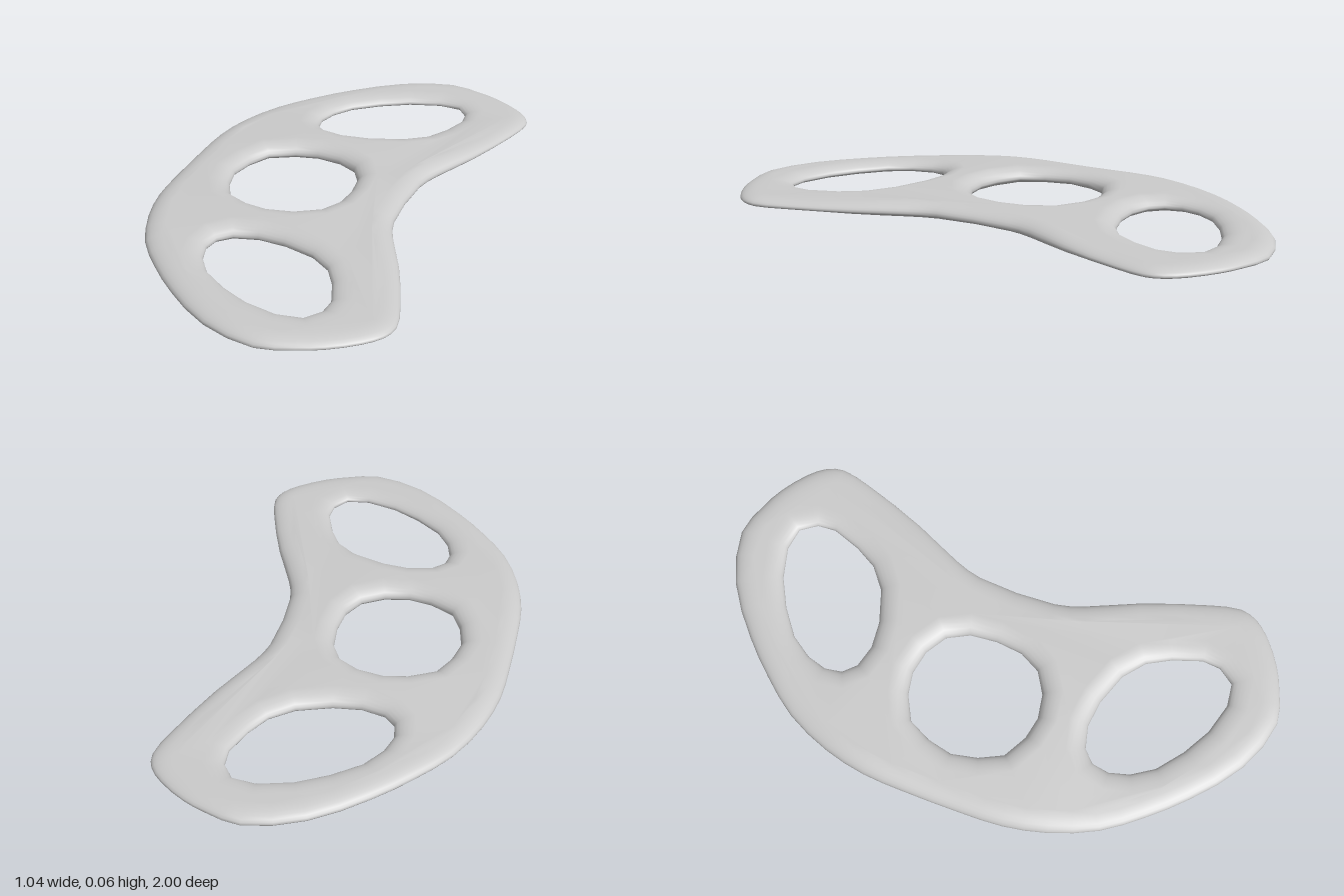
import * as THREE from 'three';
import { mergeVertices } from 'three/addons/utils/BufferGeometryUtils.js';

const toPoints = (pairs) => pairs.map(([x, y]) => new THREE.Vector2(x, y));
const flip = (pairs) => pairs.map(([x, y]) => [x, -y]).reverse();

// One half of the crescent outline, from the convex side round the tip to the concave side
const outlineHalf = [
  [-0.52, 0.1], [-0.513, 0.25], [-0.48, 0.4], [-0.41, 0.56], [-0.31, 0.69], [-0.2, 0.805],
  [-0.03, 0.938], [0.16, 1], [0.28, 0.97], [0.36, 0.935], [0.45, 0.872], [0.5, 0.815],
  [0.517, 0.755], [0.492, 0.645], [0.41, 0.415], [0.33, 0.24], [0.3, 0.14],
];
// Slanted oval opening near a tip
const tipHole = [
  [-0.21, 0.52], [-0.19, 0.59], [-0.14, 0.665], [-0.05, 0.735], [0.05, 0.79], [0.16, 0.82],
  [0.24, 0.81], [0.28, 0.755], [0.285, 0.69], [0.25, 0.59], [0.205, 0.51], [0.13, 0.45],
  [0.015, 0.41], [-0.08, 0.4], [-0.16, 0.42], [-0.2, 0.46],
];
// Half of the rounded middle opening
const middleHalf = [
  [-0.34, 0], [-0.32, 0.09], [-0.28, 0.17], [-0.195, 0.215], [-0.116, 0.23],
  [-0.03, 0.215], [0.045, 0.17], [0.085, 0.095], [0.095, 0],
];

// Relative thickness: fullest at the two bars, thinner to the tips and sides
function thickness(x, z) {
  const { smoothstep } = THREE.MathUtils;
  const a = Math.abs(z);
  const along = 0.9 + 0.1 * smoothstep(a, 0, 0.27) - 0.3 * smoothstep(a, 0.3, 0.6);
  return along * (1 - 0.2 * smoothstep(Math.abs(x + 0.07), 0.15, 0.5));
}

export function createModel() {
  const group = new THREE.Group();

  // Counter-clockwise outline
  const loop = [...outlineHalf, ...flip(outlineHalf)].reverse()
    .map(([x, y]) => new THREE.Vector3(x, y, 0));
  const curve = new THREE.CatmullRomCurve3(loop, true, 'centripetal');
  const outline = curve.getPoints(loop.length * 2).slice(0, -1);
  const shape = new THREE.Shape(outline.map((p) => new THREE.Vector2(p.x, p.y)));

  // Clockwise openings
  const middleHole = [...middleHalf, ...flip(middleHalf).slice(1, -1)];
  for (const hole of [tipHole, middleHole, flip(tipHole)]) {
    shape.holes.push(new THREE.Path(toPoints(hole)));
  }

  // Fully rounded rims: the whole height is bevel
  let geometry = new THREE.ExtrudeGeometry(shape, {
    depth: 0, bevelEnabled: true, bevelThickness: 1,
    bevelSize: 0.068, bevelOffset: -0.068, bevelSegments: 6,
  });
  geometry.rotateX(-Math.PI / 2);

  // Squash to a thin plate, higher above the rim line than below it
  const pos = geometry.attributes.position;
  for (let i = 0; i < pos.count; i++) {
    const v = pos.getY(i);
    const k = thickness(pos.getX(i), pos.getZ(i));
    pos.setY(i, 0.025 + v * k * (v > 0 ? 0.038 : 0.025));
  }
  geometry.deleteAttribute('normal');
  geometry.deleteAttribute('uv');
  geometry = mergeVertices(geometry, 1e-5);
  geometry.computeVertexNormals();

  const plate = new THREE.Mesh(geometry, new THREE.MeshStandardMaterial({ color: 0xcccccc }));
  plate.name = 'crescentPlate';
  group.add(plate);
  return group;
}
